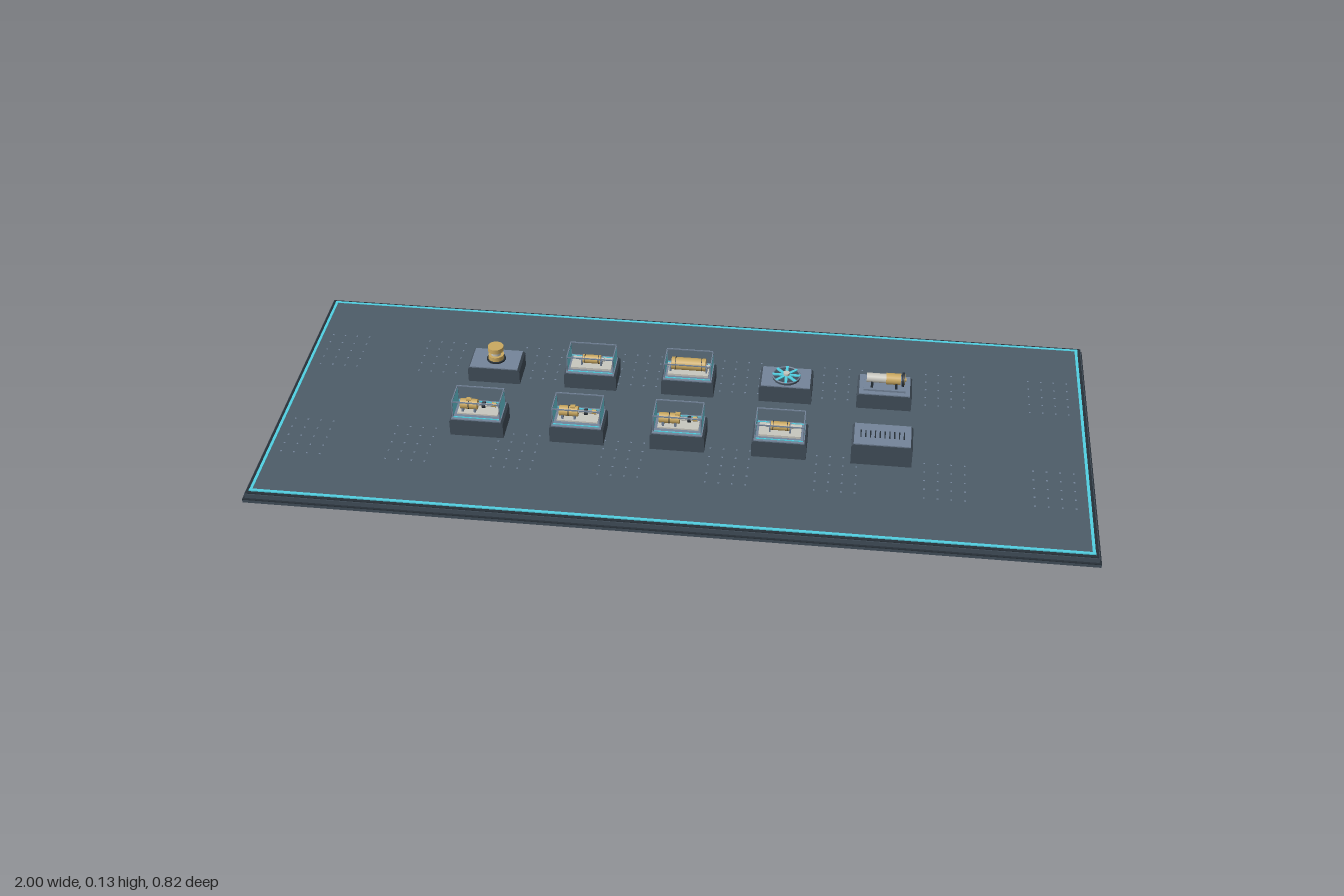
import * as THREE from 'three';

const mat = (name, color, side = THREE.FrontSide) => {
  const m = new THREE.MeshStandardMaterial({ color, side });
  m.name = name;
  return m;
};
const M = {
  deck: mat('deck slate', 0x4e5d69),
  dark: mat('dark trim', 0x272f37),
  body: mat('plinth grey', 0x424e5a),
  top: mat('plinth top', 0x74859a),
  silver: mat('warm silver', 0xc8c7bf),
  brass: mat('pale brass', 0xcba960),
  cyan: mat('cyan trim', 0x52d0e2),
  glass: mat('cyan glass', 0x6accde, THREE.DoubleSide),
};

function add(parent, name, geo, material, x, y, z) {
  const mesh = new THREE.Mesh(geo, material);
  mesh.name = name;
  mesh.position.set(x, y, z);
  parent.add(mesh);
  return mesh;
}
const box = (p, name, m, w, h, d, x, y, z) => add(p, name, new THREE.BoxGeometry(w, h, d), m, x, y, z);
const rod = (p, name, m, r, len, x, y, z, axis = 'y', r2 = r) => {
  const mesh = add(p, name, new THREE.CylinderGeometry(r2, r, len, 16), m, x, y, z);
  if (axis === 'x') mesh.rotation.z = -Math.PI / 2;
  if (axis === 'z') mesh.rotation.x = Math.PI / 2;
  return mesh;
};

// Plinth with cut upper corners; group origin ends up on its top surface
function plinth(name, x, z, w, h) {
  const g = new THREE.Group();
  g.name = name;
  g.position.set(x, 0.03 + h, z);
  const d = 0.084, c = 0.005, a = w / 2;
  const s = new THREE.Shape([[-a, -h], [a, -h], [a, -c], [a - c, 0], [-a + c, 0], [-a, -c]]
    .map(([px, py]) => new THREE.Vector2(px, py)));
  const geo = new THREE.ExtrudeGeometry(s, { depth: d, bevelEnabled: false });
  geo.translate(0, 0, -d / 2);
  add(g, 'plinthBody', geo, M.body, 0, 0, 0);
  box(g, 'plinthTop', M.top, w - 0.01, 0.003, d - 0.004, 0, 0.001, 0);
  // service panel on the back
  const back = -d / 2;
  box(g, 'backPanel', M.dark, w * 0.76, h * 0.55, 0.001, 0, -h * 0.5, back - 0.0005);
  for (let i = 0; i < 4; i++) {
    const px = (i - 1.5) * w * 0.2;
    rod(g, 'backKnob', [M.brass, M.brass, M.cyan, M.silver][i], 0.004, 0.004, px, -h * 0.38, back - 0.002, 'z');
    box(g, 'backLabel', M.silver, 0.016, 0.003, 0.001, px, -h * 0.65, back - 0.0015);
  }
  return g;
}

// Display case: end panes in a thin frame, open at front and back
function displayCase(g, h) {
  const w = 0.116, d = 0.066, t = 0.0025;
  for (const sx of [-1, 1]) {
    box(g, 'endPane', M.glass, 0.0015, h, d, sx * w / 2, h / 2, 0);
    box(g, 'endRail', M.top, t, t, d, sx * w / 2, h, 0);
    for (const sz of [-1, 1]) box(g, 'casePost', M.top, t, h, t, sx * w / 2, h / 2, sz * d / 2);
  }
  for (const sz of [-1, 1]) {
    box(g, 'topRail', M.top, w, t, t, 0, h, sz * d / 2);
    box(g, 'bottomRail', M.cyan, w, t, t, 0, 0.003, sz * d / 2);
  }
}

// Small mechanism with a brass drum and a stepped shaft
function drumModel(g, k) {
  box(g, 'modelBase', M.silver, 0.1, 0.004, 0.034, 0, 0.005, 0.004);
  for (const x of [-0.037, -0.007]) box(g, 'drumStand', M.top, 0.005, 0.014, 0.024, x, 0.014, 0.004);
  rod(g, 'drum', M.brass, 0.013, 0.042 + k * 0.004, -0.022, 0.024, 0.004, 'x');
  rod(g, 'drumBand', M.dark, 0.0135, 0.002, -0.022, 0.024, 0.004, 'x');
  rod(g, 'shaft', M.silver, 0.004, 0.05, 0.022, 0.024, 0.004, 'x');
  rod(g, 'shaftCollar', M.dark, 0.008, 0.008, 0.014 + k * 0.006, 0.024, 0.004, 'x');
  rod(g, 'shaftTip', M.brass, 0.006, 0.01, 0.04, 0.026, 0.004, 'x');
  box(g, 'valveBlock', M.brass, 0.012, 0.008, 0.01, -0.022 + k * 0.01, 0.036, 0.004);
}

// Tray holding a brass roller
function trayModel(g, len, r) {
  box(g, 'tray', M.silver, 0.102, 0.006, 0.048, 0, 0.006, 0);
  for (const s of [-1, 1]) {
    box(g, 'rollerStand', M.top, 0.004, 0.014, 0.026, s * (len / 2 + 0.002), 0.015, 0);
    rod(g, 'rollerEnd', M.silver, 0.005, 0.008, s * (len / 2 + 0.006), 0.02, 0, 'x');
  }
  rod(g, 'roller', M.brass, r, len, 0, r + 0.009, 0, 'x');
  for (const i of [-1, 1]) rod(g, 'rollerBand', M.dark, r + 0.0005, 0.0015, i * len * 0.38, r + 0.009, 0, 'x');
}

function createModel() {
  const root = new THREE.Group();
  root.name = 'exhibitionPlatform';

  // Stepped platform
  const base = new THREE.Group();
  base.name = 'platform';
  root.add(base);
  box(base, 'underside', M.body, 1.984, 0.005, 0.804, 0, 0.0025, 0);
  box(base, 'lowerStep', M.body, 2, 0.008, 0.82, 0, 0.008, 0);
  box(base, 'lowerTrim', M.dark, 2, 0.002, 0.82, 0, 0.013, 0);
  box(base, 'upperStep', M.body, 1.99, 0.012, 0.81, 0, 0.02, 0);
  box(base, 'upperTrim', M.dark, 1.986, 0.002, 0.806, 0, 0.027, 0);
  box(base, 'deck', M.deck, 1.964, 0.003, 0.784, 0, 0.0285, 0);
  for (const s of [-1, 1]) {
    box(base, 'edgeLightLong', M.cyan, 1.972, 0.003, 0.007, 0, 0.0295, s * 0.392);
    box(base, 'edgeLightShort', M.cyan, 0.007, 0.003, 0.784, s * 0.982, 0.0295, 0);
  }

  // Grouped deck studs in two bands, one instanced mesh
  const studs = new THREE.InstancedMesh(new THREE.BoxGeometry(0.004, 0.001, 0.004), M.top, 8 * 4 * 5 * 2);
  studs.name = 'deckStuds';
  const mtx = new THREE.Matrix4();
  let n = 0;
  for (let b = 0; b < 8; b++) for (let i = 0; i < 4; i++) for (let r = 0; r < 5; r++) for (const s of [-1, 1]) {
    studs.setMatrixAt(n++, mtx.makeTranslation(-0.952 + b * 0.258 + i * 0.032, 0.0302, s * (0.115 + r * 0.032)));
  }
  base.add(studs);

  // Front row: four display cases
  const xs = [-0.492, -0.246, 0, 0.246, 0.492], zFront = 0.092, zBack = -0.128;
  for (let i = 0; i < 4; i++) {
    const g = plinth('frontExhibit', xs[i], zFront, 0.132, 0.046);
    displayCase(g, i < 3 ? 0.048 : 0.044);
    if (i < 3) drumModel(g, i);
    else trayModel(g, 0.045, 0.011);
    root.add(g);
  }

  // Front row: vented console
  const cabinet = plinth('ventedConsole', xs[4], zFront, 0.146, 0.058);
  for (let i = 0; i < 10; i++) box(cabinet, 'ventSlot', M.dark, 0.003, 0.002, 0.026, -0.052 + i * 0.0115, 0.0025, 0);
  root.add(cabinet);

  // Back row: upright brass bobbin
  const bobbin = plinth('bobbinExhibit', xs[0], zBack, 0.132, 0.042);
  rod(bobbin, 'bobbinFoot', M.dark, 0.024, 0.004, 0, 0.004, 0);
  rod(bobbin, 'bobbinLower', M.brass, 0.02, 0.012, 0, 0.012, 0);
  rod(bobbin, 'bobbinNeck', M.silver, 0.013, 0.012, 0, 0.024, 0);
  rod(bobbin, 'bobbinCap', M.brass, 0.02, 0.012, 0, 0.036, 0);
  root.add(bobbin);

  // Back row: two roller trays in cases
  for (const [i, len, r] of [[1, 0.045, 0.011], [2, 0.086, 0.016]]) {
    const g = plinth('rollerExhibit', xs[i], zBack, 0.132, 0.044);
    displayCase(g, 0.044);
    trayModel(g, len, r);
    root.add(g);
  }

  // Back row: flat spoked wheel
  const wheel = plinth('wheelExhibit', xs[3], zBack, 0.132, 0.046);
  rod(wheel, 'wheelBed', M.body, 0.035, 0.006, 0, 0.005, 0);
  const rim = add(wheel, 'wheelRim', new THREE.TorusGeometry(0.034, 0.002, 6, 24), M.top, 0, 0.009, 0);
  rim.rotation.x = Math.PI / 2;
  for (let i = 0; i < 4; i++) {
    box(wheel, 'wheelSpoke', M.cyan, 0.07, 0.003, 0.007, 0, 0.0095, 0).rotation.y = i * Math.PI / 4;
  }
  rod(wheel, 'wheelHub', M.silver, 0.008, 0.01, 0, 0.012, 0);
  root.add(wheel);

  // Back row: horizontal barrel with ringed mouth
  const barrel = plinth('barrelExhibit', xs[4], zBack, 0.136, 0.042);
  box(barrel, 'barrelBed', M.top, 0.104, 0.005, 0.056, 0, 0.005, 0);
  for (const x of [-0.032, 0.028]) box(barrel, 'barrelCradle', M.dark, 0.006, 0.016, 0.03, x, 0.015, 0.006);
  rod(barrel, 'barrelBody', M.silver, 0.012, 0.08, -0.006, 0.028, 0.006, 'x');
  rod(barrel, 'barrelSleeve', M.brass, 0.0145, 0.036, 0.02, 0.028, 0.006, 'x');
  rod(barrel, 'barrelMouth', M.dark, 0.018, 0.006, 0.044, 0.028, 0.006, 'x');
  const ring = add(barrel, 'mouthRing', new THREE.TorusGeometry(0.0125, 0.002, 8, 24), M.brass, 0.047, 0.028, 0.006);
  ring.rotation.y = Math.PI / 2;
  rod(barrel, 'mouthCore', M.brass, 0.004, 0.006, 0.049, 0.028, 0.006, 'x');
  root.add(barrel);

  return root;
}

export { createModel };
